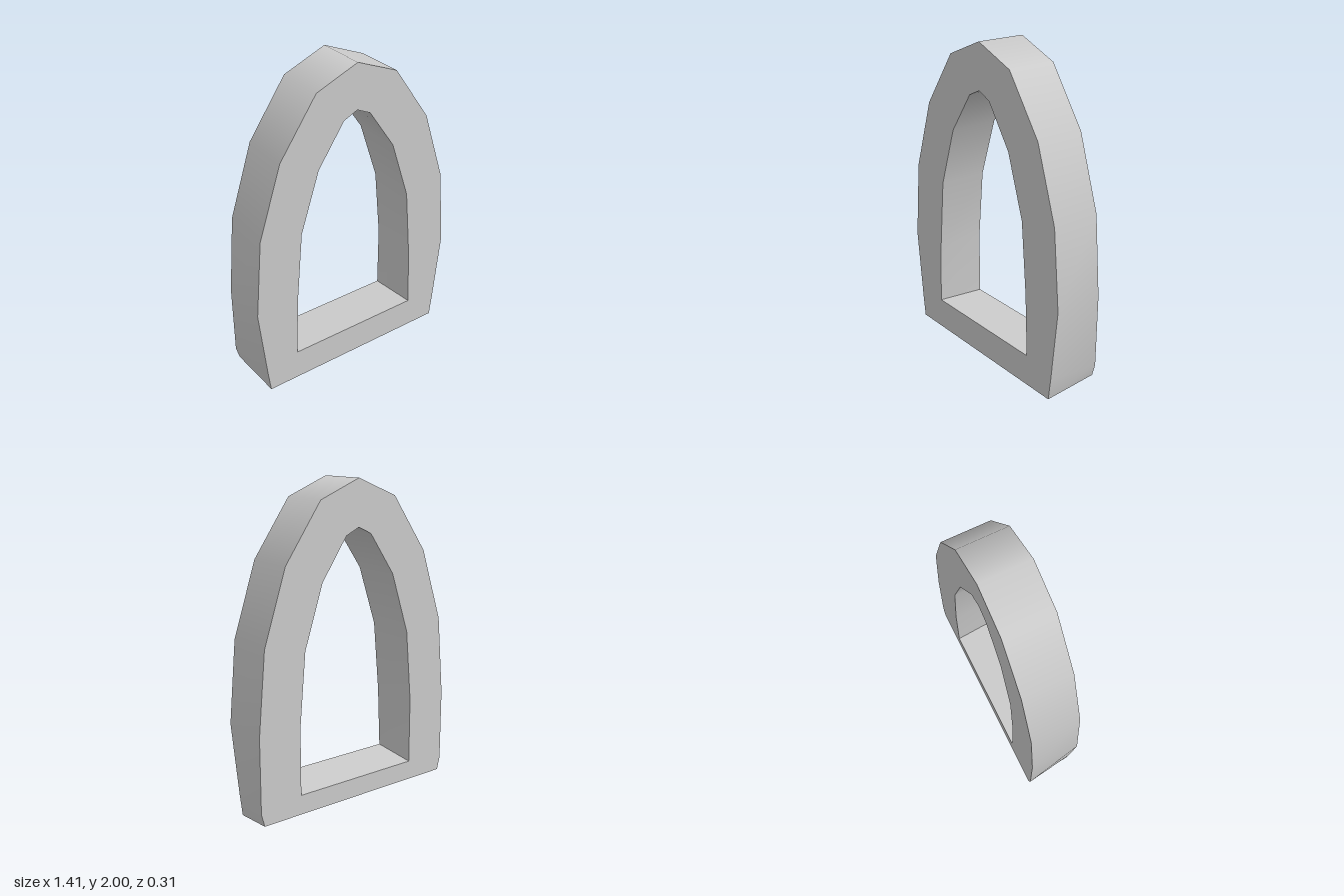
import * as THREE from 'three';
import { toCreasedNormals } from 'three/addons/utils/BufferGeometryUtils.js';

const HALF_DEPTH = 0.157;

// Right half of each outline, from the apex down
const OUTER = [[0, 2], [0.27, 1.89], [0.51, 1.547], [0.657, 1.1], [0.703, 0.6], [0.657, 0.14], [0.64, 0]];
const INNER = [[0, 1.722], [0.09, 1.68], [0.262, 1.427], [0.385, 1.05], [0.425, 0.6], [0.442, 0.2]];

// Mirror a half outline into a closed clockwise loop
function loop(half) {
  const mirrored = half.slice(1).reverse().map(([x, y]) => [-x, y]);
  return [...half, ...mirrored].map(([x, y]) => new THREE.Vector2(x, y));
}

// Rear face keeps its full width at the foot, its base is raised and its sill dips
function rearPoint(x, y) {
  const s = Math.sign(x);
  if (y < 0.05) return [s * 0.682, 0.06];
  if (y < 0.17) return [s * 0.703, y];
  if (y < 0.3) return [s * 0.425, 0.182];
  return [x, y];
}

// Give front and rear wall points of the arch curve one shared normal
function evenWallNormals(geometry) {
  const { position, normal } = geometry.attributes;
  const sums = new Map();
  const walls = [];
  for (let i = 0; i < position.count; i++) {
    if (position.getY(i) < 0.65 || Math.abs(normal.getZ(i)) > 0.5) continue;
    const key = `${position.getX(i).toFixed(3)},${position.getY(i).toFixed(3)}`;
    if (!sums.has(key)) sums.set(key, new THREE.Vector3());
    sums.get(key).add(new THREE.Vector3().fromBufferAttribute(normal, i));
    walls.push([i, key]);
  }
  sums.forEach((sum) => sum.setZ(0).normalize());
  walls.forEach(([i, key]) => normal.setXYZ(i, ...sums.get(key).toArray()));
}

export function createModel() {
  const group = new THREE.Group();
  group.name = 'archedFrame';

  // Pointed arch with a window opening
  const shape = new THREE.Shape(loop(OUTER));
  shape.holes.push(new THREE.Path(loop(INNER).reverse()));
  let geometry = new THREE.ExtrudeGeometry(shape, { depth: 2 * HALF_DEPTH, bevelEnabled: false });
  geometry.translate(0, 0, -HALF_DEPTH);

  // Reshape the rear foot
  const pos = geometry.attributes.position;
  for (let i = 0; i < pos.count; i++) {
    if (pos.getZ(i) < 0) {
      const [x, y] = rearPoint(pos.getX(i), pos.getY(i));
      pos.setXY(i, x, y);
    }
  }
  geometry.deleteAttribute('uv');
  geometry = toCreasedNormals(geometry, 1.0);
  evenWallNormals(geometry);

  const arch = new THREE.Mesh(geometry, new THREE.MeshStandardMaterial({ color: 0xcccccc }));
  arch.name = 'arch';
  group.add(arch);
  return group;
}
